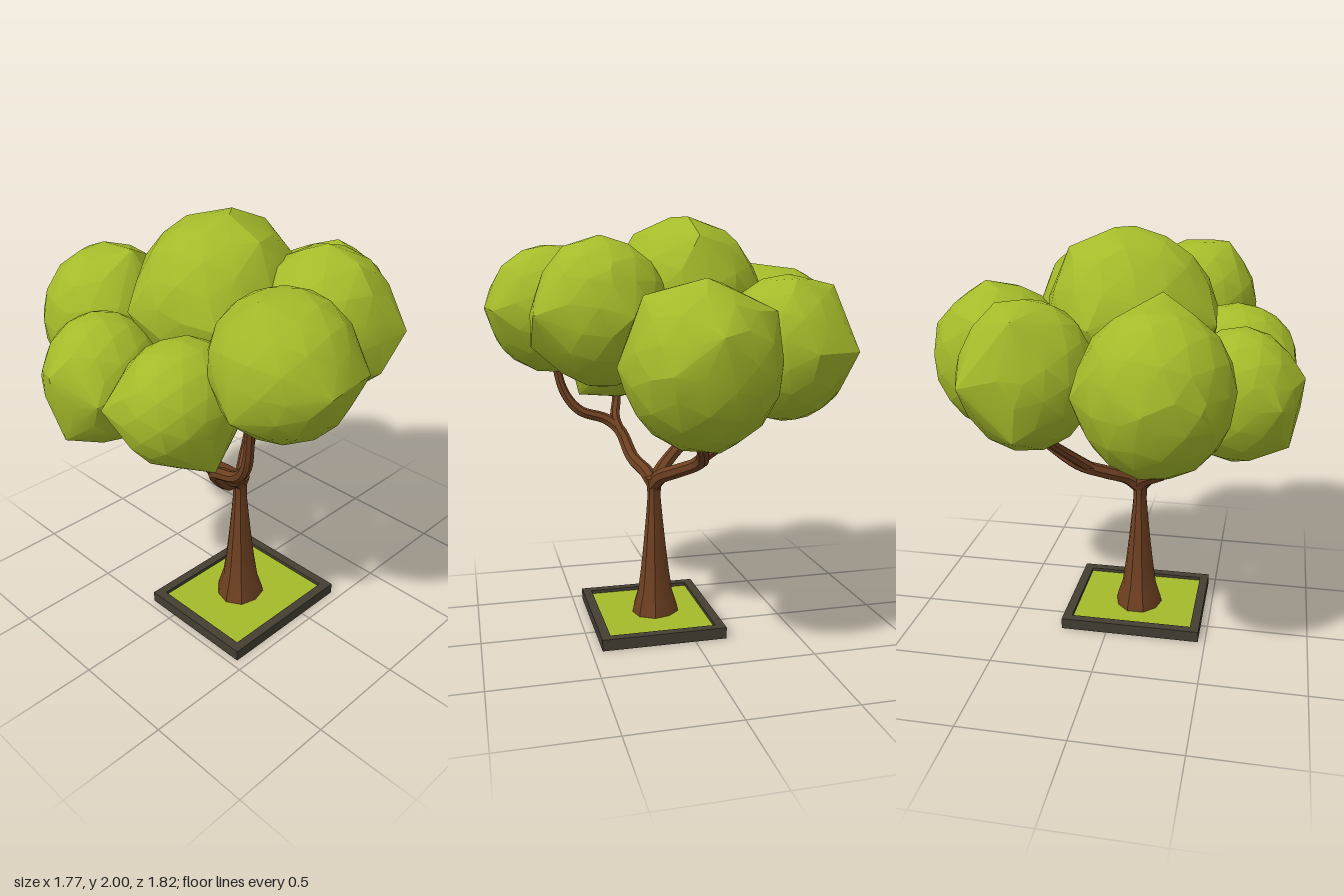
import * as THREE from 'three';
import { toCreasedNormals } from 'three/addons/utils/BufferGeometryUtils.js';
import { ConvexGeometry } from 'three/addons/geometries/ConvexGeometry.js';

const V = (x, y, z) => new THREE.Vector3(x, y, z);

// Faceted ball filling a box, with corners pushed out in three planes through its centre:
// front corners are [x, y], side corners [z, y] and level corners [x, z]
function foliageGeometry(min, max, { front = [], side = [], level = [] }, turn) {
  const c = V(...min).add(V(...max)).multiplyScalar(0.5);
  const half = V(...max).sub(c);
  const ball = new THREE.IcosahedronGeometry(1, 2).rotateX(turn).rotateY(turn * 2).attributes.position;
  const points = [];
  for (let i = 0; i < ball.count; i++) {
    points.push(V(0, 0, 0).fromBufferAttribute(ball, i).multiply(half).add(c));
  }
  front.forEach(([x, y]) => points.push(V(x, y, c.z)));
  side.forEach(([z, y]) => points.push(V(c.x, y, z)));
  level.forEach(([x, z]) => points.push(V(x, c.y, z)));
  return toCreasedNormals(new ConvexGeometry(points), 0.36);
}

// Tapered tube along a curve
function limbGeometry(points, r0, r1) {
  const curve = new THREE.CatmullRomCurve3(points.map((q) => V(...q)));
  const rings = points.length * 4;
  const sides = 7;
  const geo = new THREE.TubeGeometry(curve, rings, 1, sides, false);
  const pos = geo.attributes.position;
  const p = V(0, 0, 0);
  for (let i = 0; i < pos.count; i++) {
    const t = Math.floor(i / (sides + 1)) / rings;
    const c = curve.getPointAt(t);
    p.fromBufferAttribute(pos, i).sub(c).multiplyScalar(r0 + (r1 - r0) * t).add(c);
    pos.setXYZ(i, p.x, p.y, p.z);
  }
  return toCreasedNormals(geo, 0.7);
}

export function createModel() {
  const tree = new THREE.Group();
  tree.name = 'tree';
  const mat = (name, color) => {
    const m = new THREE.MeshStandardMaterial({ color });
    m.name = name;
    return m;
  };
  const leaf = mat('leaf green', 0xa5ba2a);
  const bark = mat('bark brown', 0x6e4021);
  const kerb = mat('dark kerb', 0x443e32);
  const add = (name, geo, material) => {
    const mesh = new THREE.Mesh(geo, material);
    mesh.name = name;
    tree.add(mesh);
    return mesh;
  };

  // Planter: frame with a grass bed, sides at these limits
  const [x0, x1, z0, z1] = [-0.465, 0.23, -0.155, 0.45];
  const rect = (T, a, b, c, d) => {
    const s = new T();
    s.moveTo(a, c);
    s.lineTo(b, c);
    s.lineTo(b, d);
    s.lineTo(a, d);
    s.closePath();
    return s;
  };
  const w = 0.045;
  const outline = rect(THREE.Shape, x0, x1, -z1, -z0);
  outline.holes.push(rect(THREE.Path, x0 + w, x1 - w, -z1 + w, -z0 - w));
  const frame = new THREE.ExtrudeGeometry(outline, { depth: 0.055, bevelEnabled: false });
  add('planterFrame', frame.rotateX(-Math.PI / 2), kerb);
  const cx = (x0 + x1) / 2;
  const cz = (z0 + z1) / 2;
  const bed = (h) => new THREE.BoxGeometry(x1 - x0 - 2 * w, h, z1 - z0 - 2 * w);
  add('planterBase', bed(0.03), kerb).position.set(cx, 0.015, cz);
  add('grass', bed(0.008), leaf).position.set(cx, 0.034, cz);

  // Trunk with flared, slightly fluted foot
  const profile = [[0.12, 0.03], [0.113, 0.07], [0.088, 0.15], [0.071, 0.27], [0.056, 0.4],
    [0.042, 0.54], [0.034, 0.63], [0.035, 0.69], [0.048, 0.735], [0, 0.755]];
  const trunk = new THREE.LatheGeometry(profile.map((q) => new THREE.Vector2(...q)), 9);
  const tp = trunk.attributes.position;
  for (let i = 0; i < tp.count; i++) {
    const a = Math.atan2(tp.getZ(i), tp.getX(i));
    const k = 1 + 0.04 * Math.sin(a * 3);
    tp.setX(i, tp.getX(i) * k);
    tp.setZ(i, tp.getZ(i) * k);
  }
  add('trunk', toCreasedNormals(trunk, 0.6), bark).position.set(-0.122, 0, 0.125);

  // Limbs: path, start radius, end radius
  const limbs = {
    frontLimb: [[[-0.12, 0.7, 0.125], [-0.17, 0.75, 0.15], [-0.28, 0.805, 0.2], [-0.4, 0.93, 0.245],
      [-0.44, 0.985, 0.31], [-0.455, 1.03, 0.44], [-0.48, 1.13, 0.52], [-0.51, 1.36, 0.57]], 0.038, 0.02],
    frontTwig: [[[-0.38, 0.91, 0.24], [-0.44, 0.99, 0.26], [-0.51, 1.07, 0.24], [-0.58, 1.22, 0.22]], 0.028, 0.02],
    leftLimb: [[[-0.12, 0.7, 0.125], [-0.07, 0.75, 0.1], [0.03, 0.8, 0.03], [0.15, 0.86, -0.04],
      [0.28, 0.93, -0.02], [0.42, 1.02, 0.03], [0.55, 1.15, 0.05]], 0.038, 0.024],
    leftTwig: [[[0.1, 0.84, -0.02], [0.17, 0.92, -0.1], [0.25, 1.05, -0.25], [0.3, 1.18, -0.36]], 0.028, 0.02],
    backLimb: [[[-0.12, 0.7, 0.125], [-0.15, 0.75, 0.09], [-0.24, 0.82, 0], [-0.29, 0.9, -0.1],
      [-0.34, 1.0, -0.24], [-0.38, 1.1, -0.37], [-0.38, 1.2, -0.43]], 0.038, 0.022],
    backTwig: [[[-0.28, 0.88, -0.07], [-0.35, 0.99, -0.1], [-0.43, 1.09, -0.15], [-0.55, 1.2, -0.22]], 0.027, 0.02],
  };
  for (const [name, [points, r0, r1]] of Object.entries(limbs)) add(name, limbGeometry(points, r0, r1), bark);

  // Foliage clumps: box corners, pushed-out corners, turn of the facets
  const clump = (name, min, max, corners, turn) => add(name, foliageGeometry(min, max, corners, turn), leaf);
  clump('topFoliage', [-0.49, 1.23, -0.39], [0.29, 1.99, 0.34], {
    front: [[-0.02, 2], [0.19, 1.91]],
    side: [[0.04, 2], [-0.23, 1.94], [0.22, 1.92]],
    level: [[-0.5, -0.18], [-0.39, 0.26], [0.03, -0.4]],
  }, 0.3);
  clump('backFoliage', [-0.62, 1.05, -0.9], [0.04, 1.77, -0.25], {
    side: [[-0.39, 1.79], [-0.72, 1.73], [-0.91, 1.42]],
    level: [[-0.28, -0.91], [0.04, -0.7], [-0.5, -0.83]],
  }, 0.9);
  clump('backLeftFoliage', [-0.01, 1.07, -0.7], [0.6, 1.74, -0.1], {
    front: [[0.43, 1.72]],
    side: [[-0.63, 1.69], [-0.66, 1.18]],
    level: [[0.53, -0.66], [0.61, -0.44]],
  }, 1.4);
  clump('leftFoliage', [0.22, 1, -0.28], [0.88, 1.72, 0.4], {
    front: [[0.62, 1.73], [0.88, 1.51], [0.44, 1]],
    side: [[0.31, 1.66], [-0.02, 0.99], [-0.27, 1.59]],
    level: [[0.6, -0.28], [0.84, 0.25], [0.48, 0.41]],
  }, 0.5);
  clump('frontFoliage', [-0.2, 1.23, 0.1], [0.42, 1.9, 0.72], {
    front: [[0.11, 1.91], [0.37, 1.76]],
    side: [[0.42, 1.91], [0.58, 1.86], [0.73, 1.42]],
    level: [[0.43, 0.32], [0.27, 0.73], [0.1, 0.73]],
  }, 1.1);
  clump('frontRightFoliage', [-0.64, 1.25, 0.27], [-0.04, 1.88, 0.9], {
    front: [[-0.49, 1.87], [-0.64, 1.42]],
    side: [[0.73, 1.83], [0.91, 1.58]],
    level: [[-0.43, 0.91], [-0.17, 0.88], [-0.59, 0.73]],
  }, 0.1);
  clump('backRightFoliage', [-0.88, 1.02, -0.5], [-0.34, 1.62, 0.03], {
    front: [[-0.84, 1.09], [-0.89, 1.41]],
    level: [[-0.8, -0.44], [-0.81, -0.02]],
  }, 0.7);
  clump('rightFoliage', [-0.86, 1.08, -0.02], [-0.28, 1.63, 0.48], {
    side: [[0.43, 1.1]],
    level: [[-0.85, 0.06], [-0.78, 0.39]],
  }, 1.7);

  return tree;
}
